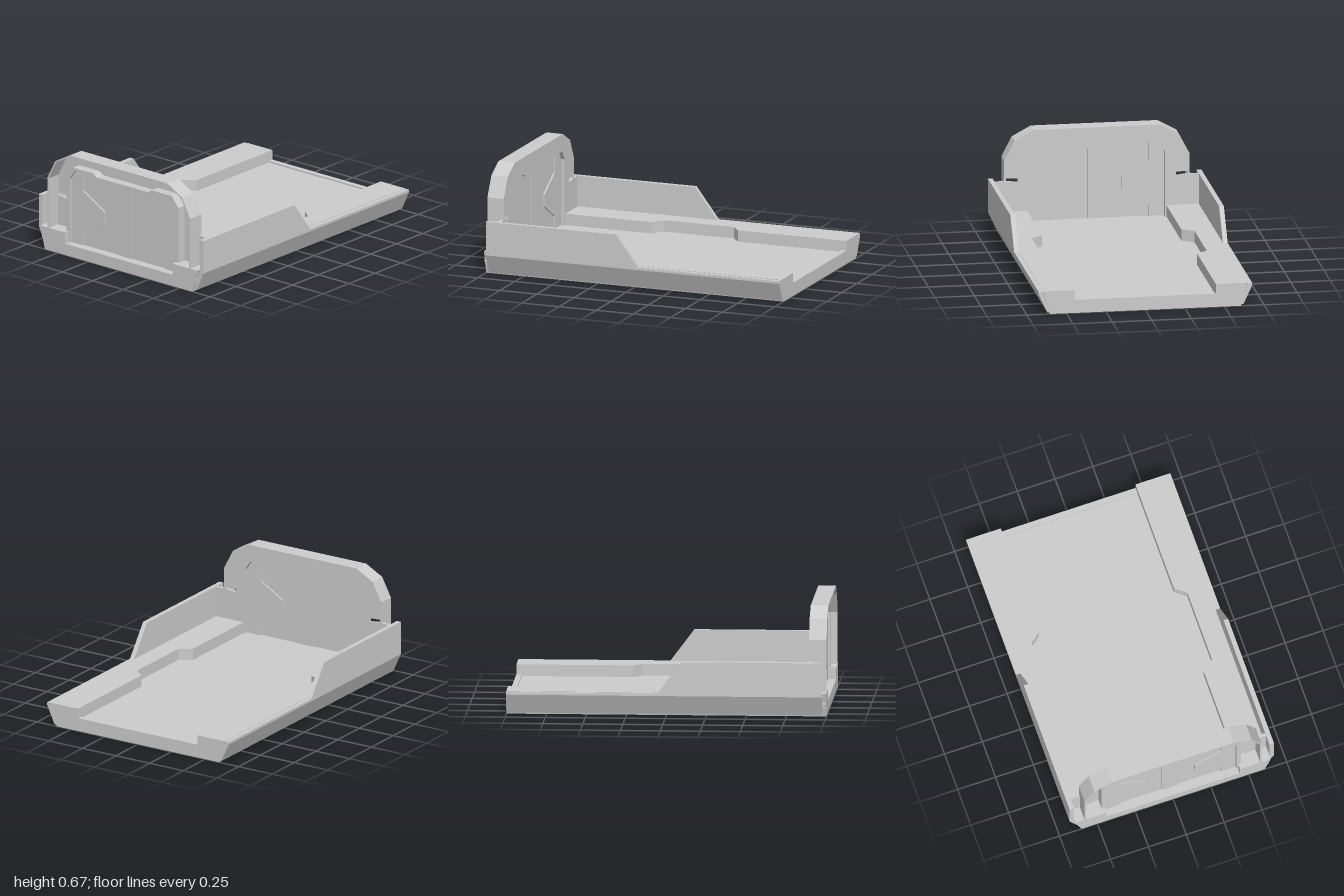
import * as THREE from 'three';

const material = new THREE.MeshStandardMaterial({ color: 0xcccccc, flatShading: true });

const toShape = pts => new THREE.Shape(pts.map(([x, y]) => new THREE.Vector2(x, y)));
const mirrorPts = pts => pts.map(([x, y]) => [-x, y]).reverse();
// closed symmetric outline from its +x half, listed bottom to top
const both = half => [...half, ...mirrorPts(half)];

export function createModel() {
  const model = new THREE.Group();

  const add = (name, geometry) => {
    const mesh = new THREE.Mesh(geometry, material);
    mesh.name = name;
    model.add(mesh);
  };
  const extrude = (outline, depth, hole) => {
    const shape = toShape(outline);
    if (hole) shape.holes.push(toShape(hole));
    return new THREE.ExtrudeGeometry(shape, { depth, bevelEnabled: false });
  };
  // outline in x, y, extruded from z0 to z1
  const alongZ = (name, outline, z0, z1) =>
    add(name, extrude(outline, z1 - z0).translate(0, 0, z0));
  // outline in x, z, extruded from y0 to y1
  const alongY = (name, outline, y0, y1, hole) =>
    add(name, extrude(outline, y1 - y0, hole).rotateX(Math.PI / 2).translate(0, y1, 0));
  // outline in z, y, extruded from x0 to x1
  const alongX = (name, outline, x0, x1) =>
    add(name, extrude(outline.map(([z, y]) => [-z, y]), x1 - x0).rotateY(Math.PI / 2).translate(x0, 0, 0));
  const rect = (x, a, b) => [[x, a], [x, b], [-x, b], [-x, a]];

  // Bed floor with a low lip at the rear
  alongZ('floor', both([[0.62, 0.05], [0.625, 0.075]]), -1, 1);
  alongZ('rearLip', rect(0.45, 0.07, 0.085), -1, -0.965);

  // Underside: outer rim, open channel, and a frame around the sunken panel
  alongY('bottomRim', rect(0.605, -1, 1), 0, 0.055, rect(0.57, -0.87, 0.95));
  alongY('bottomFrame', rect(0.51, -0.83, 0.83), 0.015, 0.055, rect(0.47, -0.785, 0.785));
  for (const x of [-0.42, -0.14, 0.14, 0.42]) {
    add('bottomBrace', new THREE.BoxGeometry(0.04, 0.04, 0.13).translate(x, 0.035, 0.89));
  }

  // Raised shelves with a wider bay in the middle, side walls and skirts
  const shelf = [
    [0.63, -1], [0.63, 1], [0.44, 1], [0.44, 0.31], [0.515, 0.255],
    [0.515, -0.215], [0.445, -0.27], [0.445, -1],
  ];
  const shelfEdge = [[0.6, 0], [0.605, 0], [0.645, 0.148], [0.6, 0.148]];
  const skirt = [[0.608, 0.01], [0.62, 0.01], [0.675, 0.13], [0.642, 0.13]];
  const wall = [
    [0.975, 0.13], [0.975, 0.345], [0.1, 0.345], [-0.05, 0.146], [-1, 0.146], [-1, 0.13],
  ];
  // Lower headboard plate, parted from the arch by a narrow slot
  const joinPlate = [[0.5, 0.148], [0.655, 0.148], [0.655, 0.34], [0.585, 0.345], [0.5, 0.335]];
  for (const [side, s] of [['left', 1], ['right', -1]]) {
    const flip = pts => (s > 0 ? pts : mirrorPts(pts));
    alongY(side + 'Shelf', flip(shelf), 0.075, 0.148);
    alongZ(side + 'ShelfEdge', flip(shelfEdge), -1, 1);
    alongZ(side + 'Skirt', flip(skirt), -1, 0.975);
    alongX(side + 'Wall', wall, s > 0 ? 0.645 : -0.675, s > 0 ? 0.675 : -0.645);
    alongZ(side + 'JoinPlate', flip(joinPlate), 0.89, 0.91);
  }

  // Headboard: thin outer arch around a recessed back plate
  const arch = [[0.585, 0.148], [0.585, 0.48], [0.52, 0.605], [0.4, 0.67]];
  const archInside = [[0.575, 0.148], [0.575, 0.477], [0.513, 0.597], [0.398, 0.66]];
  const opening = [[0.43, 0.075], [0.43, 0.5], [0.39, 0.56], [0.25, 0.56], [0.22, 0.54]];
  const rim = [[0.46, 0.075], [0.46, 0.51], [0.405, 0.578], [0.24, 0.578], [0.21, 0.558]];
  const back = [[0.5, 0.075], [0.5, 0.36], [0.585, 0.365], ...arch.slice(1)];
  // an arch that is open at its foot
  const band = (outer, inner) => [...both(outer), ...both(inner).reverse()];
  alongZ('headboardArch', band(arch, archInside), 0.89, 1);
  alongZ('headboardBack', band(back, opening), 0.89, 0.905);
  alongZ('openingRim', band(rim, opening), 0.9, 0.965);

  // Door inside the opening: thin sheet, cut side panels and a middle strip
  alongZ('doorSheet', both(opening), 0.925, 0.94);
  const panel = [
    [0.43, 0.075], [0.43, 0.5], [0.39, 0.56], [0.33, 0.56], [0.33, 0.435],
    [0.16, 0.335], [0.16, 0.255], [0.33, 0.155], [0.33, 0.075],
  ];
  alongZ('leftDoorPanel', panel, 0.915, 0.95);
  alongZ('rightDoorPanel', mirrorPts(panel), 0.915, 0.95);
  alongZ('doorStrip', rect(0.055, 0.075, 0.54), 0.918, 0.947);

  return model;
}
